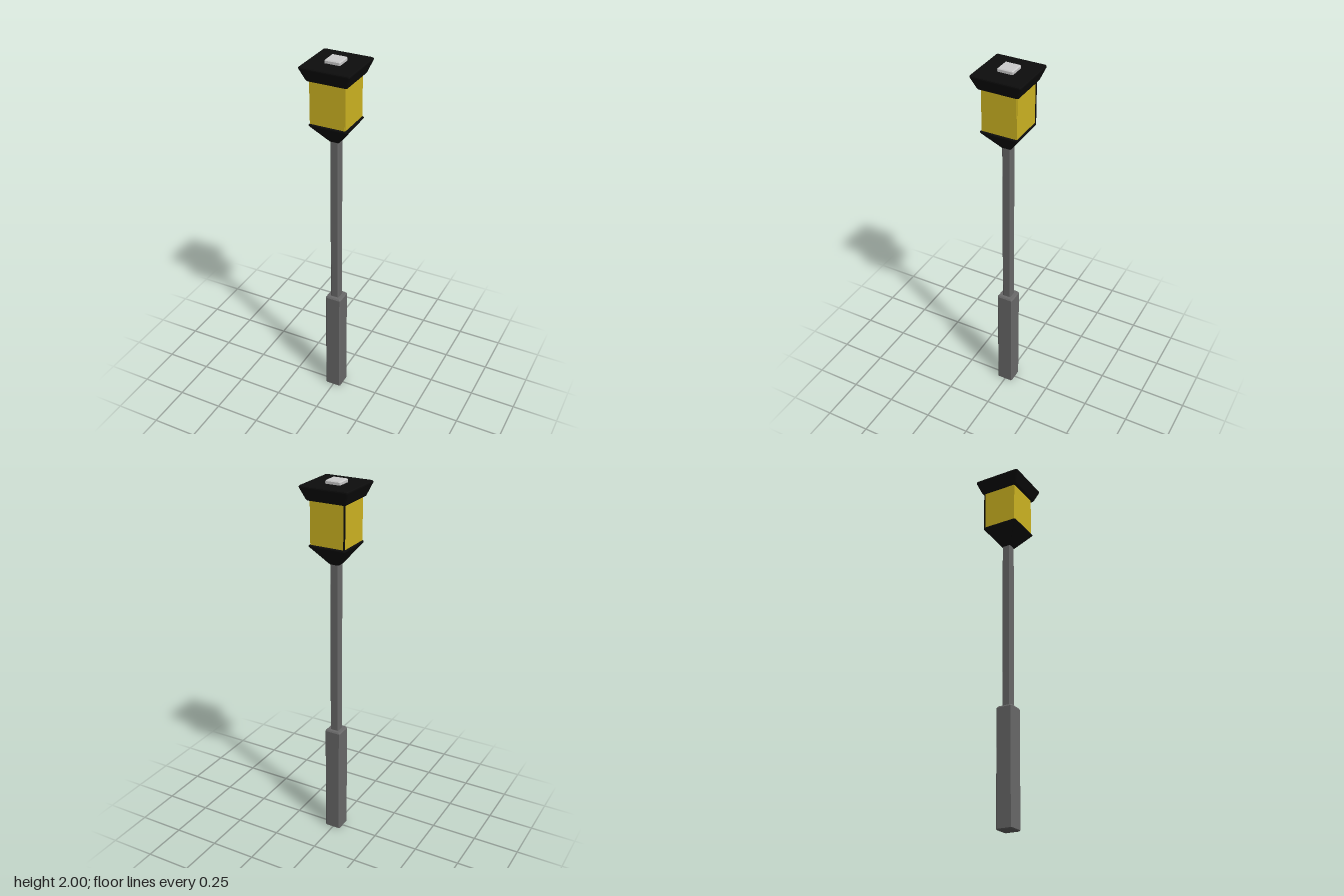
import * as THREE from 'three';

const mat = (name, color) => Object.assign(new THREE.MeshStandardMaterial({ color }), { name });

// Chamfered square sections [half width, height], stacked and capped, with hard edges
function loft(sections, chamfer) {
  const rings = sections.map(([h, y]) => {
    const c = h - chamfer;
    return [[h, -c], [h, c], [c, h], [-c, h], [-h, c], [-h, -c], [-c, -h], [c, -h]]
      .map(([x, z]) => [x, y, z]);
  });
  const pos = [];
  const tri = (a, b, c) => pos.push(...a, ...b, ...c);
  for (let r = 0; r + 1 < rings.length; r++) {
    const lo = rings[r], hi = rings[r + 1];
    for (let i = 0; i < 8; i++) {
      const j = (i + 1) % 8;
      tri(lo[i], hi[i], hi[j]);
      tri(lo[i], hi[j], lo[j]);
    }
  }
  const bottom = rings[0], top = rings[rings.length - 1];
  for (let i = 1; i < 7; i++) {
    tri(bottom[0], bottom[i], bottom[i + 1]);
    tri(top[0], top[i + 1], top[i]);
  }
  const g = new THREE.BufferGeometry();
  g.setAttribute('position', new THREE.Float32BufferAttribute(pos, 3));
  g.computeVertexNormals();
  return g;
}

export function createModel() {
  const group = new THREE.Group();
  const grey = mat('post grey', 0x6a6a6a);
  const black = mat('lantern black', 0x0d0d0d);
  const yellow = mat('lamp yellow', 0xd0b622);
  const silver = mat('cap silver', 0xcccccc);

  const add = (name, geometry, material, x = 0, y = 0, z = 0) => {
    const mesh = new THREE.Mesh(geometry, material);
    mesh.name = name;
    mesh.position.set(x, y, z);
    group.add(mesh);
    return mesh;
  };

  // Post: thick base and slim pole
  add('base', loft([[0.04, 0], [0.045, 0.005], [0.045, 0.622], [0.04, 0.63]], 0.005), grey);
  add('pole', loft([[0.024, 0.62], [0.024, 1.59]], 0.005), grey);

  // Lantern: funnel, black core with glowing panes, flared roof
  add('funnel', loft([[0.026, 1.575], [0.03, 1.58], [0.101, 1.675], [0.101, 1.681], [0.097, 1.685]], 0.004), black);
  add('lampCore', new THREE.BoxGeometry(0.185, 0.24, 0.185), black, -0.001, 1.795, 0);
  for (let i = 0; i < 4; i++) {
    const a = i * Math.PI / 2;
    const pane = add('pane', new THREE.BoxGeometry(0.186, 0.23, 0.006), yellow,
      Math.sin(a) * 0.0925 - 0.001, 1.797, Math.cos(a) * 0.0925);
    pane.rotation.y = a;
  }
  // Slim corner strip at the back
  add('cornerStrip', new THREE.BoxGeometry(0.007, 0.23, 0.007), black, -0.0965, 1.797, -0.0955);
  add('roof', loft([[0.106, 1.907], [0.11, 1.913], [0.133, 1.972], [0.133, 1.978], [0.13, 1.982]], 0.005), black);

  // Small cap on the roof
  add('cap', loft([[0.041, 1.975], [0.041, 1.995], [0.037, 2]], 0.002), silver, -0.003, 0, -0.002);
  return group;
}
